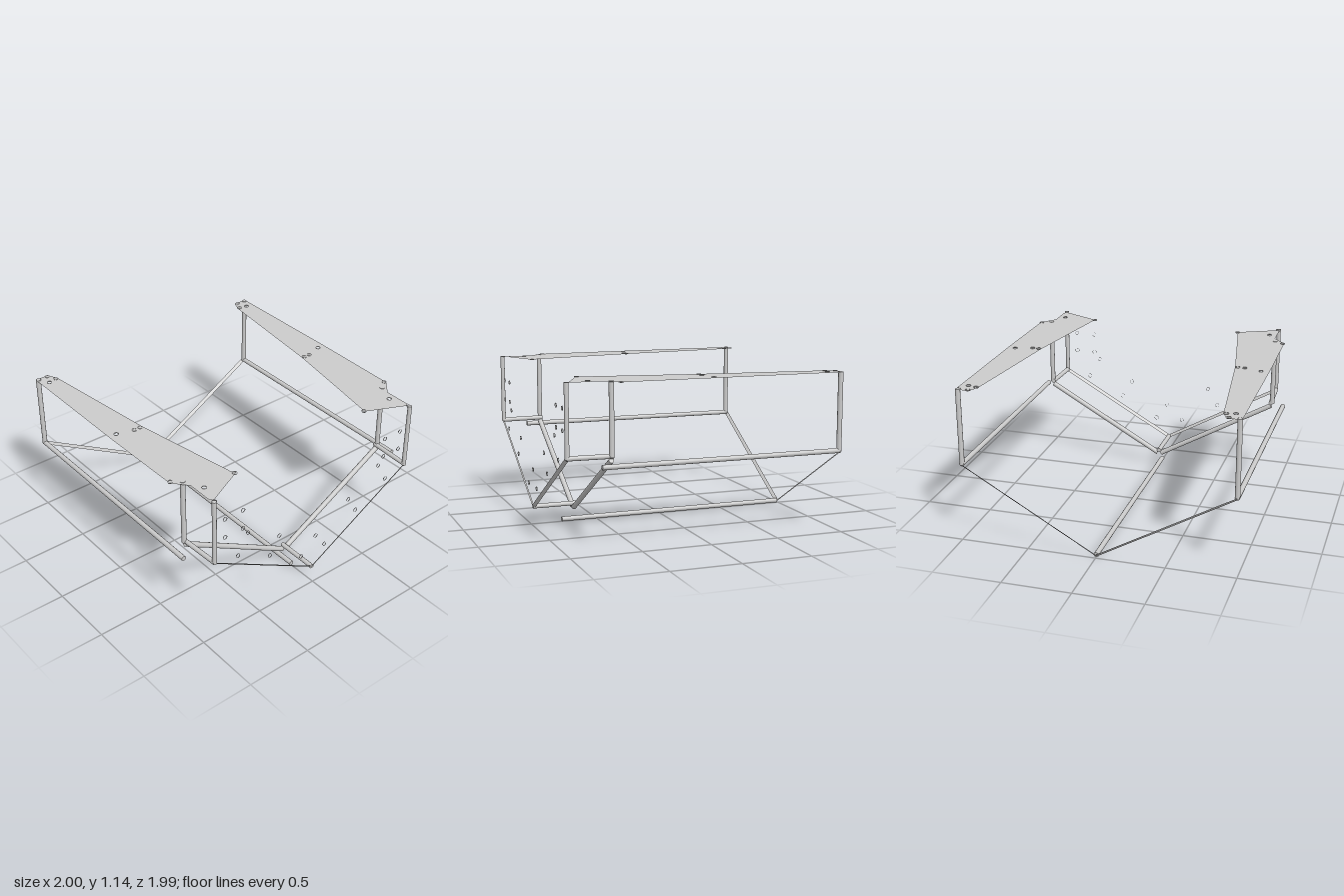
import * as THREE from 'three';

const grey = new THREE.MeshStandardMaterial({ color: 0xcccccc });
const thin = new THREE.MeshStandardMaterial({ color: 0xcccccc, side: THREE.DoubleSide });
const V = (p) => new THREE.Vector3(...p);

function add(parent, name, geometry, material) {
  const mesh = new THREE.Mesh(geometry, material);
  mesh.name = name;
  parent.add(mesh);
  return mesh;
}

// Round tube between two points
function tube(parent, name, a, b, r) {
  const from = V(a), dir = V(b).sub(from);
  const mesh = add(parent, name, new THREE.CylinderGeometry(r, r, dir.length(), 12), grey);
  mesh.position.copy(from).addScaledVector(dir, 0.5);
  mesh.quaternion.setFromUnitVectors(new THREE.Vector3(0, 1, 0), dir.normalize());
}

// Flat strip between two points, spread by half the width vector to each side
function strip(parent, name, a, b, w) {
  const from = V(a), to = V(b), half = V(w);
  const corners = [from.clone().sub(half), to.clone().sub(half), to.clone().add(half), from.clone().add(half)];
  const g = new THREE.BufferGeometry().setFromPoints(corners);
  g.setIndex([0, 1, 2, 0, 2, 3]);
  g.computeVertexNormals();
  add(parent, name, g, thin);
}

// Short open ring lining a bolt hole; axis is y, or z when upright
function ring(parent, name, p, r, upright) {
  const g = new THREE.CylinderGeometry(r, r, 0.006, 16, 1, true);
  if (upright) g.rotateX(Math.PI / 2);
  add(parent, name, g, thin).position.set(...p);
}

export function createModel() {
  const model = new THREE.Group();
  model.name = 'openFrame';
  const top = 1.15, plateY = 1.147;

  // Keel and the short spacer at the front of the V
  tube(model, 'keelRail', [0, 0.025, -0.985], [0, 0.025, 0.77], 0.018);
  tube(model, 'lowerSpacer', [0, 0.138, 0.665], [0, 0.138, 0.985], 0.017);

  for (const s of [1, -1]) {
    const side = new THREE.Group();
    side.name = s > 0 ? 'leftSide' : 'rightSide';
    model.add(side);

    // Long rail and posts
    tube(side, 'sideRail', [s * 0.98, 0.592, -0.985], [s * 0.98, 0.592, 0.77], 0.018);
    tube(side, 'rearPost', [s * 0.98, 0.585, -0.977], [s * 0.98, top, -0.977], 0.018);
    tube(side, 'middlePost', [s * 0.908, 0.64, 0.68], [s * 0.908, top, 0.68], 0.018);
    tube(side, 'frontPost', [s * 0.885, 0.64, 0.98], [s * 0.885, top, 0.98], 0.016);
    tube(side, 'upperSpacer', [s * 0.9, 0.647, 0.665], [s * 0.885, 0.647, 0.985], 0.017);

    // Sloping members: one round, two flat and tilted
    tube(side, 'middleBeam', [s * 0.9, 0.62, 0.68], [s * 0.016, 0.113, 0.68], 0.019);
    strip(side, 'rearBeam', [s * 0.985, 0.588, -0.988], [0, 0.02, -0.988], [-s * 0.005, 0.0085, -0.01]);
    strip(side, 'frontBeam', [s * 0.885, 0.642, 0.982], [0, 0.136, 0.982], [-s * 0.005, 0.0085, 0.01]);

    // Flat top plate with three holes
    const outline = [[0.89, -0.99], [0.985, -0.99], [0.995, -0.97], [0.995, 0.0], [0.985, 0.645],
      [0.895, 0.75], [0.895, 0.945], [0.87, 0.96], [0.6, 0.833], [0.575, 0.82], [0.595, 0.79],
      [0.74, 0.0], [0.855, -0.91]];
    const shape = new THREE.Shape(outline.map(([x, z]) => new THREE.Vector2(s * x, z)));
    const holes = [[0.935, -0.895], [0.935, -0.037], [0.84, 0.82]];
    for (const [x, z] of holes) {
      const hole = new THREE.Path();
      hole.absarc(s * x, z, 0.016, 0, Math.PI * 2, true);
      shape.holes.push(hole);
      ring(side, 'plateHoleRim', [s * x, plateY, z], 0.016, false);
    }
    add(side, 'topPlate', new THREE.ShapeGeometry(shape, 16).rotateX(Math.PI / 2), thin).position.y = plateY;

    // Bolt rings along the plate
    for (const [x, z] of [[0.978, -0.975], [0.905, -0.975], [0.873, -0.91], [0.81, 0], [0.76, 0],
      [0.975, 0.635], [0.88, 0.975], [0.587, 0.82]]) {
      ring(side, 'plateBoltRing', [s * x, plateY, z], 0.017, false);
    }

    // Bolt rings in the upright front plane
    for (const [x, y] of [[0.8, 0.97], [0.65, 0.97], [0.8, 0.82], [0.65, 0.82], [0.605, 0.76],
      [0.69, 0.605], [0.325, 0.59], [0.405, 0.457], [0.11, 0.291]]) {
      ring(side, 'frontBoltRing', [s * x, y, 0.985], 0.016, true);
    }
  }
  ring(model, 'centreBoltRing', [0.02, 0.415, 0.985], 0.016, true);
  return model;
}
